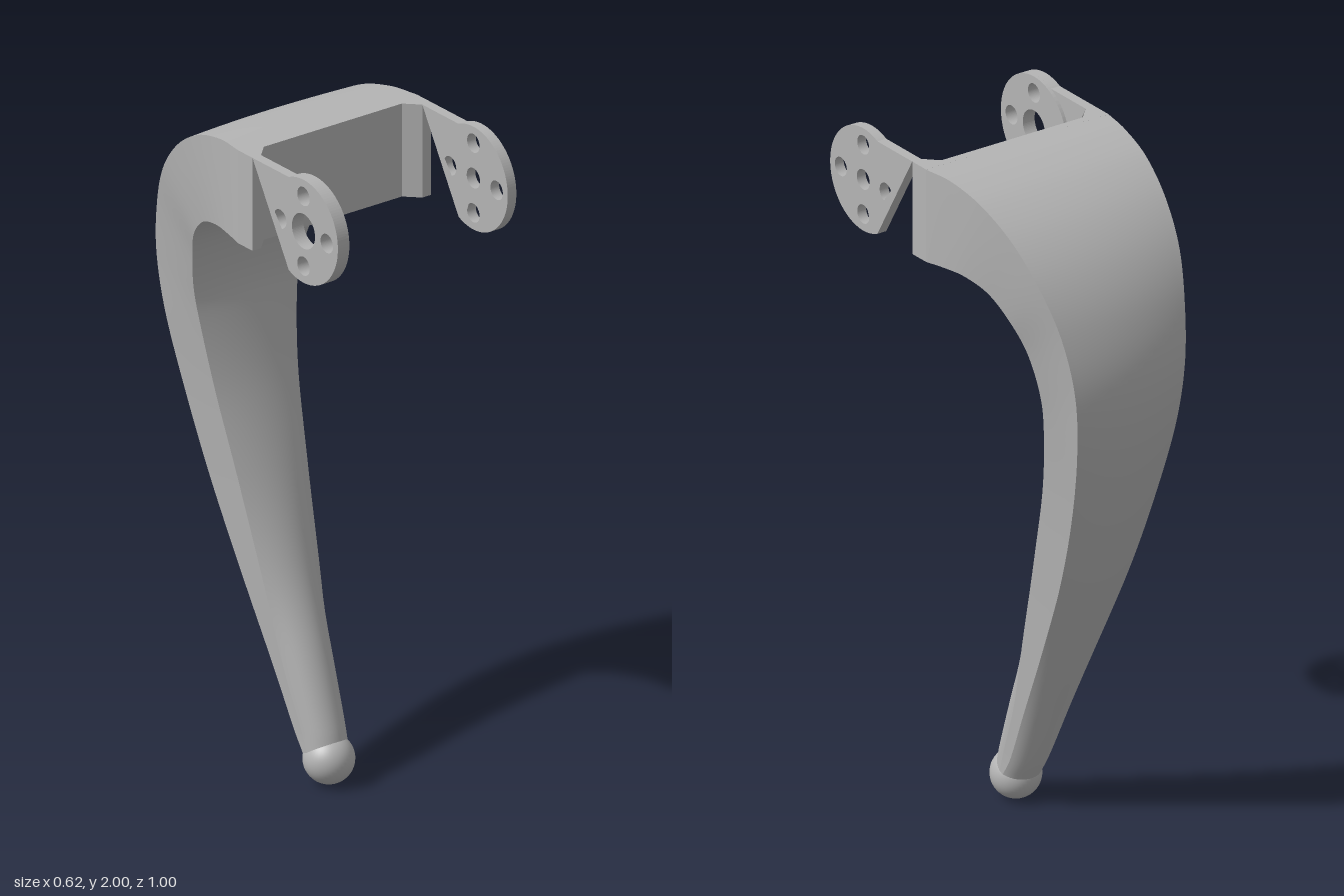
import * as THREE from 'three';

const grey = new THREE.MeshStandardMaterial({ color: 0xb4b4b4 });
grey.name = 'grey';

function add(group, name, geometry) {
  const mesh = new THREE.Mesh(geometry, grey);
  mesh.name = name;
  group.add(mesh);
}

// Leg stations, top to foot: back z, y; front z, y; half width; front and back arc angles
const stations = [
  [0.05, 1.985, 0.05, 1.705, 0.31, 0.001, 0.001],
  [-0.05, 1.981, -0.02, 1.706, 0.295, 0.01, 0.01],
  [-0.17, 1.95, -0.09, 1.7, 0.28, 0.03, 0.03],
  [-0.29, 1.88, -0.17, 1.67, 0.26, 0.06, 0.07],
  [-0.39, 1.775, -0.235, 1.605, 0.238, 0.09, 0.12],
  [-0.46, 1.64, -0.275, 1.52, 0.21, 0.12, 0.17],
  [-0.497, 1.47, -0.297, 1.41, 0.187, 0.15, 0.21],
  [-0.485, 1.28, -0.29, 1.3, 0.168, 0.18, 0.26],
  [-0.43, 1.05, -0.25, 1.1, 0.143, 0.24, 0.36],
  [-0.345, 0.8, -0.175, 0.86, 0.12, 0.36, 0.48],
  [-0.235, 0.54, -0.08, 0.6, 0.099, 0.75, 0.7],
  [-0.13, 0.31, 0.015, 0.37, 0.081, 1.4, 0.95],
  [-0.055, 0.15, 0.08, 0.19, 0.069, 1.5, 1.1],
  [-0.015, 0.08, 0.1, 0.12, 0.066, 1.5, 1.2],
];
const curve = (f) => new THREE.CatmullRomCurve3(stations.map(f), false, 'catmullrom', 0.5);
const backCurve = curve((s) => new THREE.Vector3(0, s[1], s[0]));
const frontCurve = curve((s) => new THREE.Vector3(0, s[3], s[2]));
const sizeCurve = curve((s) => new THREE.Vector3(s[4], s[5], s[6]));

// One of four faces of the leg: point(t, u), u from 0 to 1 around the section
function sheet(point, rows, cols) {
  const pos = [], index = [];
  for (let i = 0; i <= rows; i++) {
    for (let j = 0; j <= cols; j++) {
      pos.push(...point(i / rows, j / cols).toArray());
      if (i < rows && j < cols) {
        const a = i * (cols + 1) + j, b = a + cols + 1;
        index.push(a, b, b + 1, a, b + 1, a + 1);
      }
    }
  }
  const g = new THREE.BufferGeometry();
  g.setAttribute('position', new THREE.Float32BufferAttribute(pos, 3));
  g.setIndex(index);
  g.computeVertexNormals();
  return g;
}

// Point on the bulged front (side = 1) or back (side = -1), u from -1 to 1 across x
function bulge(t, u, side) {
  const front = frontCurve.getPoint(t), back = backCurve.getPoint(t), size = sizeCurve.getPoint(t);
  const inward = back.clone().sub(front).normalize().multiplyScalar(side);
  const max = Math.max(0.001, side > 0 ? size.y : size.z);
  const radius = size.x / Math.sin(max);
  const p = (side > 0 ? front : back).addScaledVector(inward, radius * (1 - Math.cos(max * u)));
  p.x = radius * Math.sin(max * u);
  return p;
}

// Round plate with five holes, optionally carried on a straight arm
function plate(withArm, thickness, xMax, centreHole) {
  const z = 0.345, y = 1.845, r = 0.155, half = 0.14;
  const s = new THREE.Shape();
  if (withArm) {
    const a = Math.PI - Math.asin(half / r);
    s.moveTo(0.115, y - half);
    s.absarc(z, y, r, -a, a, false);
    s.lineTo(0.115, y + half);
    s.closePath();
  } else s.absarc(z, y, r, 0, Math.PI * 2, false);
  for (const [dz, dy, hr] of [[0, 0, centreHole], [0.105, 0, 0.028], [-0.105, 0, 0.028], [0, 0.105, 0.028], [0, -0.105, 0.028]]) {
    const hole = new THREE.Path();
    hole.absarc(z + dz, y + dy, hr, 0, Math.PI * 2, true);
    s.holes.push(hole);
  }
  return new THREE.ExtrudeGeometry(s, { depth: thickness, bevelEnabled: false, curveSegments: 40 })
    .rotateY(-Math.PI / 2).translate(xMax, 0, 0);
}

export function createModel() {
  const model = new THREE.Group();
  model.name = 'curvedLeg';

  // Curved, tapering leg with crisp edges between its four faces
  const leg = new THREE.Group();
  leg.name = 'leg';
  model.add(leg);
  add(leg, 'legFront', sheet((t, u) => bulge(t, 2 * u - 1, 1), 90, 20));
  add(leg, 'legBack', sheet((t, u) => bulge(t, 1 - 2 * u, -1), 90, 20));
  add(leg, 'legLeftSide', sheet((t, u) => bulge(t, 1, 1).lerp(bulge(t, 1, -1), u), 90, 4));
  add(leg, 'legRightSide', sheet((t, u) => bulge(t, -1, -1).lerp(bulge(t, -1, 1), u), 90, 4));

  // Fork base: front wall with chamfered inner corners
  const half = [[0.31, 0.05], [0.31, 0.115], [0.28, 0.115], [0.24, 0.075]];
  const outline = [...half, ...half.map(([x, z]) => [-x, z]).reverse()];
  const base = new THREE.Shape(outline.map(([x, z]) => new THREE.Vector2(x, -z)));
  add(model, 'forkBase', new THREE.ExtrudeGeometry(base, { depth: 0.28, bevelEnabled: false })
    .rotateX(-Math.PI / 2).translate(0, 1.705, 0));

  // Fork arms; the right one has a wider bore and a raised inner disc
  add(model, 'leftArm', plate(true, 0.03, 0.31, 0.03));
  add(model, 'rightArm', plate(true, 0.03, -0.28, 0.052));
  add(model, 'rightDisc', plate(false, 0.01, -0.27, 0.052));

  // Ball foot
  add(model, 'foot', new THREE.SphereGeometry(0.073, 40, 28).translate(0, 0.073, 0.057));
  return model;
}
